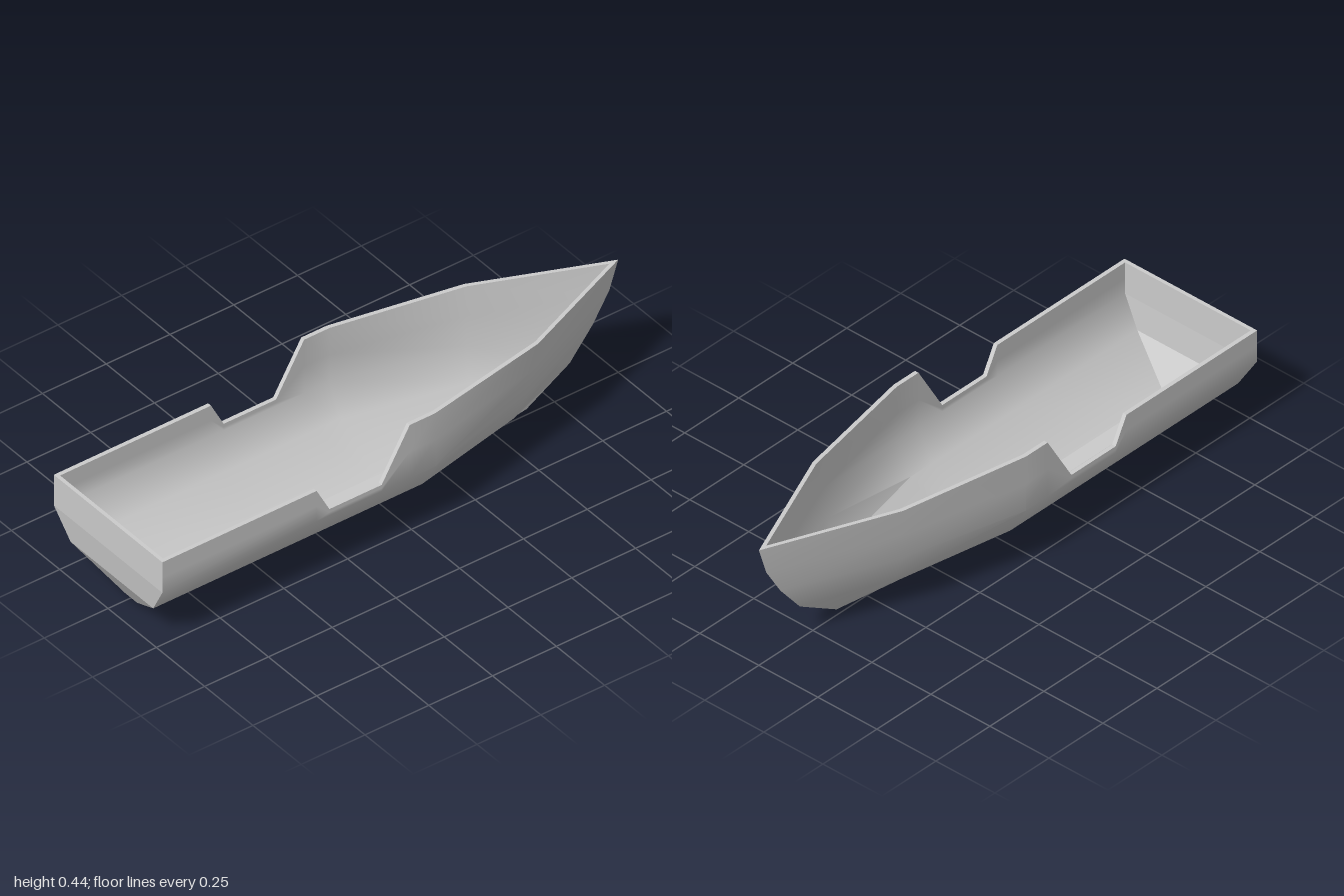
import * as THREE from 'three';
import { toCreasedNormals } from 'three/addons/utils/BufferGeometryUtils.js';

// Hull lines from keel to rim: stern z, bow shoulder z, stem z, heights, half widths
const LINES = [
  { stern: 0.91, fore: -0.36, stem: -0.64, y: 0, stemY: 0.022, w: 0.032, foreW: 0.02, inset: 0.002 },
  { stern: 0.985, fore: -0.5, stem: -0.81, y: 0.125, stemY: 0.125, w: 0.214, foreW: 0.12, inset: 0.006 },
  { stern: 1, fore: -0.52, stem: -0.9, y: 0.235, stemY: 0.235, w: 0.281, foreW: 0.165, inset: 0.015 },
  { stern: 1, fore: -0.53, stem: -0.965, rise: 0.5, w: 0.281, foreW: 0.18, inset: 0.015 },
  { stern: 1, fore: -0.54, stem: -1, rise: 1, w: 0.281, foreW: 0.192, inset: 0.015 },
];
// Rim heights along the side, including the notch
const MID_Z = [null, 0.395, 0.345, 0.14, 0.03, -0.07, null, null];
const RIM_Y = [0.355, 0.355, 0.26, 0.26, 0.445, 0.445, 0.445, 0.445];
const LAST = MID_Z.length - 1;
const N = LINES.length * 2;

// One cross-section, from the right rim down to the keel and up to the left rim
function section(i, inner) {
  const half = LINES.map((l) => {
    const t = inner ? l.inset : 0;
    let z = MID_Z[i], w = l.w - t;
    let y = l.rise ? 0.235 + (RIM_Y[i] - 0.235) * l.rise : l.y;
    if (i === 0) z = l.stern - t * 0.9;
    if (i === LAST - 1) { z = l.fore; w = l.foreW - t; }
    if (i === LAST) { z = l.stem + t * 2.3; w = 0; if (!l.rise) y = l.stemY; }
    if (inner && l.y === 0) y += 0.005;
    return new THREE.Vector3(w, y, z);
  });
  const right = half.map((p) => new THREE.Vector3(-p.x, p.y, p.z)).reverse();
  return [...right, ...half];
}

function quadMesh(name, quads, crease, flip = false) {
  const pos = [];
  const tri = (a, b, c) => {
    const area = b.clone().sub(a).cross(c.clone().sub(a)).length();
    if (area < 1e-7) return;
    for (const p of flip ? [a, c, b] : [a, b, c]) pos.push(p.x, p.y, p.z);
  };
  for (const [a, b, c, d] of quads) { tri(a, b, c); tri(a, c, d); }
  let geo = new THREE.BufferGeometry();
  geo.setAttribute('position', new THREE.Float32BufferAttribute(pos, 3));
  geo.computeVertexNormals();
  if (crease) geo = toCreasedNormals(geo, crease);
  const mesh = new THREE.Mesh(geo, new THREE.MeshStandardMaterial({ color: 0xcccccc, side: THREE.DoubleSide }));
  mesh.name = name;
  return mesh;
}

// Long skin through all cross-sections
function skin(s) {
  const quads = [];
  for (let i = 0; i < LAST; i++)
    for (let j = 0; j < N - 1; j++)
      quads.push([s[i][j], s[i + 1][j], s[i + 1][j + 1], s[i][j + 1]]);
  return quads;
}

// Flat stern panels between matching points on both sides
function transom(s) {
  const quads = [];
  for (let j = N / 2; j < N - 1; j++)
    quads.push([s[0][N - 1 - j], s[0][j], s[0][j + 1], s[0][N - 2 - j]]);
  return quads;
}

export function createModel() {
  const group = new THREE.Group();
  group.name = 'boatHull';
  const outer = MID_Z.map((_, i) => section(i, false));
  const inner = MID_Z.map((_, i) => section(i, true));

  group.add(quadMesh('outerHull', skin(outer), 0.57));
  group.add(quadMesh('innerHull', skin(inner), 0.57, true));
  group.add(quadMesh('outerTransom', transom(outer)));
  group.add(quadMesh('innerTransom', transom(inner), 0, true));

  // Rim joining the two skins, along both sides and the stern
  const rim = [[outer[0][0], outer[0][N - 1], inner[0][N - 1], inner[0][0]]];
  for (let i = 0; i < LAST; i++) {
    const k = N - 1;
    rim.push([outer[i][k], outer[i + 1][k], inner[i + 1][k], inner[i][k]]);
    rim.push([inner[i][0], inner[i + 1][0], outer[i + 1][0], outer[i][0]]);
  }
  group.add(quadMesh('rim', rim));
  return group;
}
